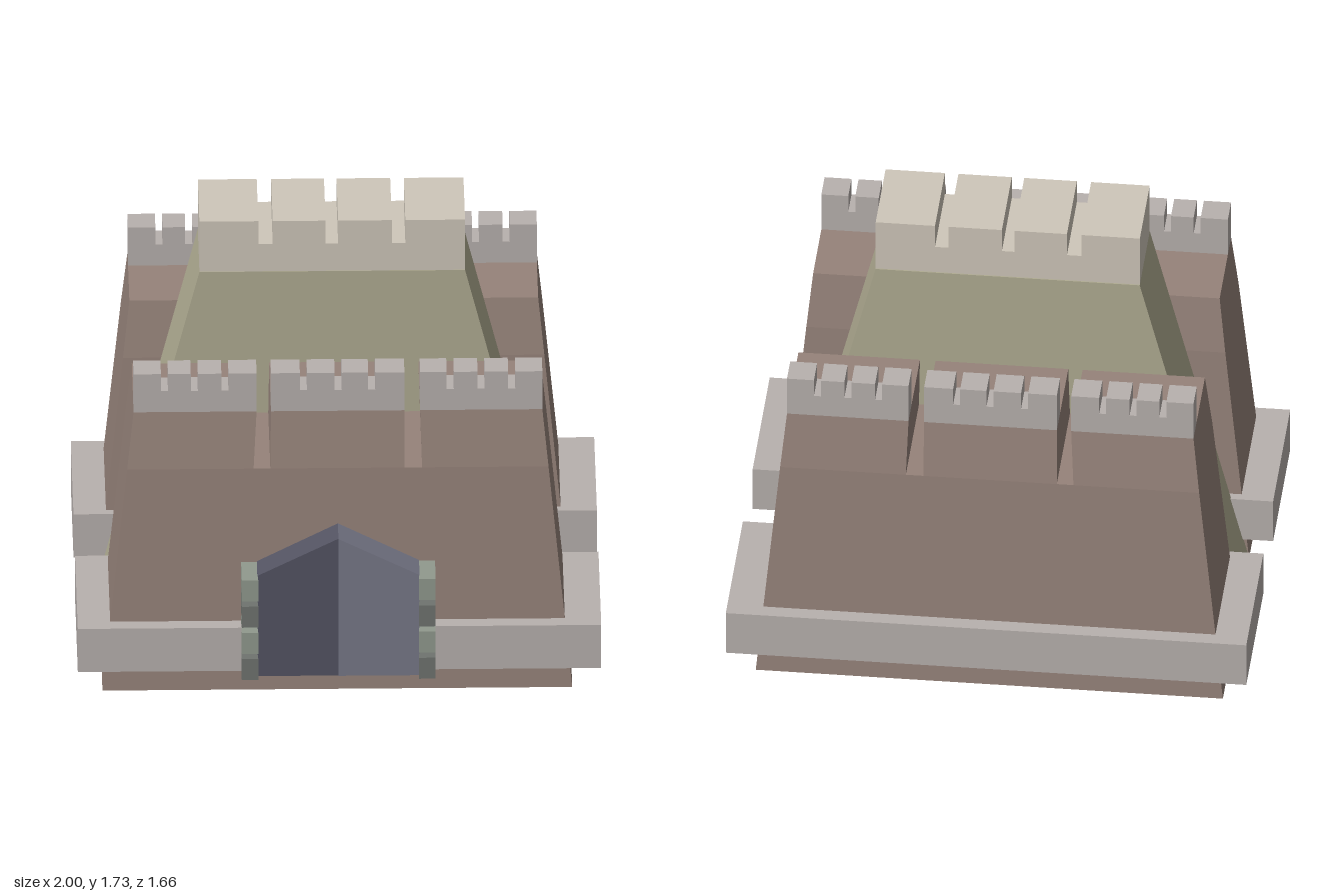
import * as THREE from 'three';

const mat = (color) => new THREE.MeshStandardMaterial({ color, flatShading: true });
const brick = mat(0x96837a), trim = mat(0xb8b1ae), towerStone = mat(0xb0ac92), towerCap = mat(0xcfc7ba);
const doorDark = mat(0x545463), doorLight = mat(0x777888), quoinLight = mat(0x919a8e), quoinDark = mat(0x6f746f);

function add(parent, name, geometry, material) {
  const mesh = new THREE.Mesh(geometry, material);
  mesh.name = name;
  parent.add(mesh);
  return mesh;
}

function box(parent, name, material, x0, x1, y0, y1, z0, z1) {
  const mesh = add(parent, name, new THREE.BoxGeometry(x1 - x0, y1 - y0, Math.abs(z1 - z0)), material);
  mesh.position.set((x0 + x1) / 2, (y0 + y1) / 2, (z0 + z1) / 2);
  return mesh;
}

// Solid through rectangular sections, each [y, x0, x1, z0, z1], bottom to top
function loft(sections) {
  const corners = sections.map(([y, x0, x1, z0, z1]) => [[x0, y, z1], [x1, y, z1], [x1, y, z0], [x0, y, z0]]);
  const pos = [];
  const quad = (a, b, c, d) => pos.push(...a, ...b, ...c, ...a, ...c, ...d);
  for (let i = 0; i < corners.length - 1; i++) {
    const lo = corners[i], hi = corners[i + 1];
    for (let k = 0; k < 4; k++) quad(lo[k], lo[(k + 1) % 4], hi[(k + 1) % 4], hi[k]);
  }
  quad(...corners[corners.length - 1]);
  quad(...[...corners[0]].reverse());
  const g = new THREE.BufferGeometry();
  g.setAttribute('position', new THREE.Float32BufferAttribute(pos, 3));
  g.computeVertexNormals();
  return g;
}

// Shape from points, extruded between two depths
function slab(points, z0, z1) {
  const shape = new THREE.Shape(points.map(([x, y]) => new THREE.Vector2(x, y)));
  const depth = Math.abs(z1 - z0);
  return new THREE.ExtrudeGeometry(shape, { depth, bevelEnabled: false }).translate(0, 0, Math.min(z0, z1));
}

// Parapet with square notches cut down from its top
function parapet(x0, x1, y0, y1, notchY, notches, z0, z1) {
  const pts = [[x0, y0], [x1, y0], [x1, y1]];
  for (const [a, b] of [...notches].reverse()) pts.push([b, y1], [b, notchY], [a, notchY], [a, y1]);
  pts.push([x0, y1]);
  return slab(pts, z0, z1);
}

// Outer fort block; side +1 faces the front, -1 the back
function fort(name, side, cz) {
  const group = new THREE.Group();
  group.name = name;
  const depthAt = { base: 0.27, slot: 0.235, top: 0.204 };
  const section = (y, x0, x1, h) => [y, x0, x1, cz - h, cz + h];
  add(group, 'lowerWall', loft([
    section(0, -0.905, 0.89, depthAt.base), section(0.93, -0.81, 0.8, depthAt.slot),
  ]), brick);

  // Three upper bays, separated by deep through slots: [bottom x0, x1, top x0, x1, notch centres]
  const bays = [
    [-0.81, -0.327, -0.785, -0.315, [-0.667, -0.553, -0.436]],
    [-0.263, 0.25, -0.26, 0.25, [-0.136, -0.003, 0.125]],
    [0.317, 0.8, 0.31, 0.777, [0.425, 0.543, 0.66]],
  ];
  const outer = cz + side * depthAt.top, inner = outer - side * 0.115;
  for (const [b0, b1, t0, t1, centres] of bays) {
    add(group, 'upperWall', loft([section(0.93, b0, b1, depthAt.slot), section(1.16, t0, t1, depthAt.top)]), brick);
    const notches = centres.map((c) => [c - 0.0135, c + 0.0135]);
    add(group, 'battlement', parapet(t0, t1, 1.16, 1.323, 1.25, notches, inner, outer), trim);
  }

  // Ledge around the foot
  const ledgeZ = cz + side * 0.012;
  box(group, 'ledge', trim, -1, 1, 0.105, 0.29, ledgeZ - 0.306, ledgeZ + 0.306);
  return group;
}

export function createModel() {
  const model = new THREE.Group();
  model.name = 'fortress';
  model.add(fort('frontFort', 1, 0.424), fort('backFort', -1, -0.511));

  // Central tower and its crown
  add(model, 'tower', loft([[0, -0.91, 0.87, -0.22, 0.141], [1.51, -0.525, 0.49, -0.22, 0.141]]), towerStone);
  add(model, 'towerBattlement', parapet(-0.525, 0.49, 1.51, 1.725, 1.627,
    [[-0.3, -0.245], [-0.043, 0.005], [0.21, 0.262]], -0.215, 0.138), towerCap);

  // Peaked double door
  add(model, 'rightDoorLeaf', slab([[-0.315, 0.11], [-0.005, 0.11], [-0.005, 0.697], [-0.315, 0.54]], 0.66, 0.797), doorDark);
  add(model, 'leftDoorLeaf', slab([[-0.005, 0.11], [0.305, 0.11], [0.305, 0.54], [-0.005, 0.697]], 0.66, 0.8), doorLight);

  // Stacked stones beside the door
  for (let i = 0; i < 4; i++) {
    const y = 0.11 + i * 0.1125;
    for (const [x0, x1] of [[-0.375, -0.312], [0.302, 0.366]]) {
      box(model, 'doorStone', i % 2 ? quoinLight : quoinDark, x0, x1, y, y + 0.09, 0.66, 0.83);
    }
  }
  return model;
}
